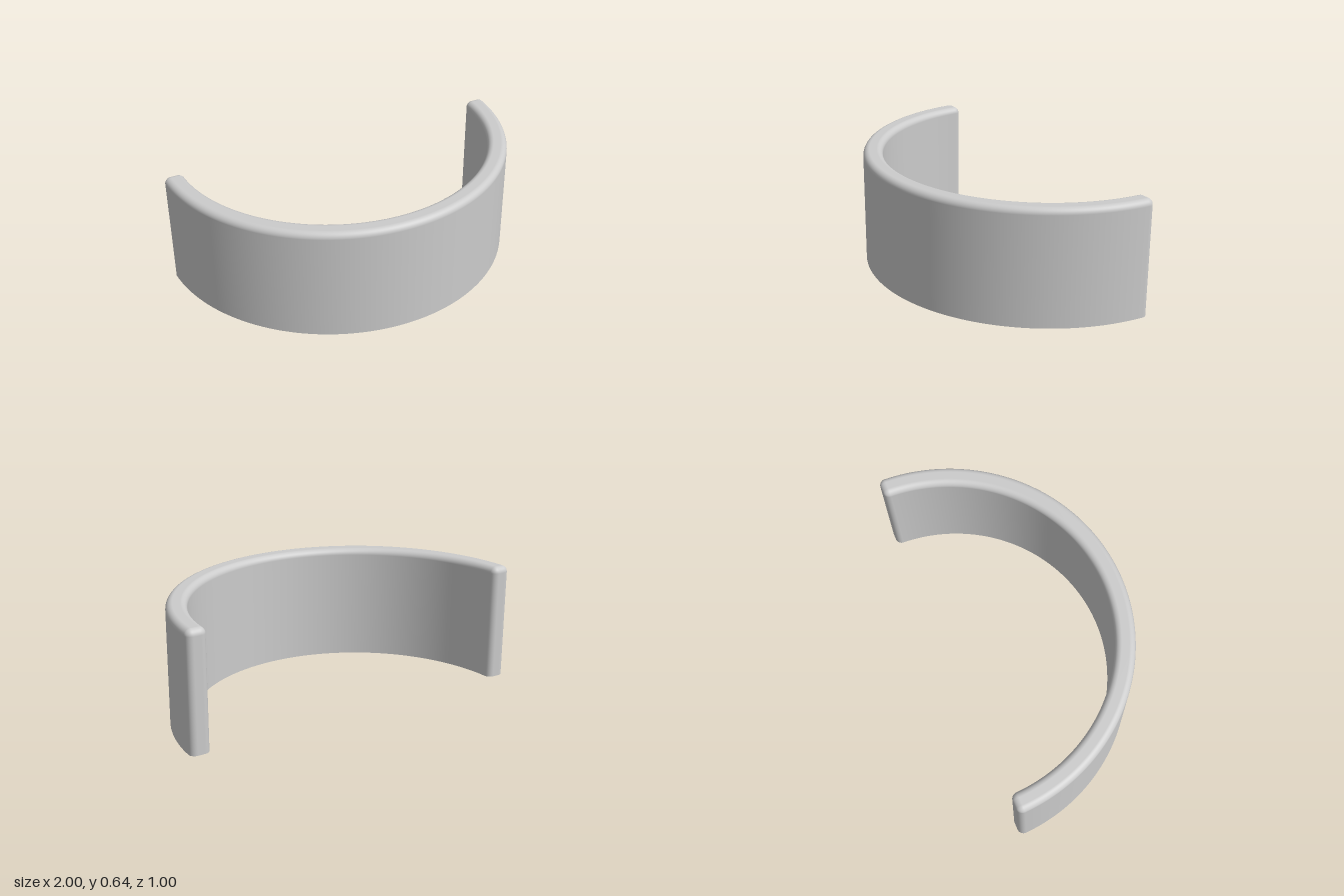
import * as THREE from 'three';

const OUTER = 1, INNER = 0.89, HEIGHT = 0.645, R = 0.035, BACK = -0.5;

// Outline of the half ring, as core points with outward normal angles;
// the rounded edges come from pushing the core out by R.
function outline() {
  const ro = OUTER - R, ri = INNER + R;
  const ao = Math.asin(R / ro), ai = Math.asin(R / ri);
  const pts = [];
  const sweep = (radius, from, to, nFrom, nTo, steps) => {
    for (let i = 0; i <= steps; i++) {
      const a = THREE.MathUtils.lerp(from, to, i / steps);
      const n = THREE.MathUtils.lerp(nFrom, nTo, i / steps);
      pts.push({
        x: radius * Math.cos(a), z: BACK + radius * Math.sin(a),
        nx: Math.cos(n), nz: Math.sin(n),
      });
    }
  };
  const P = Math.PI, down = 1.5 * P;
  sweep(ro, ao, P - ao, ao, P - ao, 96);               // outer wall
  sweep(ro, P - ao, P - ao, P - ao, down, 8);          // right end, outer edge
  sweep(ri, P - ai, P - ai, down, 2 * P - ai, 8);      // right end, inner edge
  sweep(ri, P - ai, ai, 2 * P - ai, P + ai, 96);       // inner wall
  sweep(ri, ai, ai, P + ai, down, 8);                  // left end, inner edge
  sweep(ro, ao, ao, down, 2 * P + ao, 8);              // left end, outer edge
  return pts;
}

// Upright walls and the rounded top edge, lofted with smooth normals
function wallGeometry(pts) {
  const rows = [{ y: 0, t: 0 }];
  for (let i = 0; i <= 8; i++) {
    const t = (i / 8) * Math.PI / 2;
    rows.push({ y: HEIGHT - R + R * Math.sin(t), t });
  }
  const position = [], normal = [], index = [], n = pts.length;
  rows.forEach(({ y, t }, j) => {
    const c = Math.cos(t), s = Math.sin(t);
    pts.forEach((p, i) => {
      position.push(p.x + p.nx * R * c, y, p.z + p.nz * R * c);
      normal.push(p.nx * c, s, p.nz * c);
      if (j === 0) return;
      const k = (i + 1) % n, lo = (j - 1) * n, hi = j * n;
      index.push(lo + i, hi + i, lo + k, lo + k, hi + i, hi + k);
    });
  });
  const geo = new THREE.BufferGeometry();
  geo.setAttribute('position', new THREE.Float32BufferAttribute(position, 3));
  geo.setAttribute('normal', new THREE.Float32BufferAttribute(normal, 3));
  geo.setIndex(index);
  return geo;
}

// Flat cap; side is 1 facing up, -1 facing down
function capGeometry(pts, offset, y, side) {
  const ring = pts.map(p => new THREE.Vector2(p.x + p.nx * offset, -side * (p.z + p.nz * offset)))
    .filter((p, i, all) => i === 0 || p.distanceTo(all[i - 1]) > 1e-6);
  if (ring[0].distanceTo(ring[ring.length - 1]) < 1e-6) ring.pop();
  return new THREE.ShapeGeometry(new THREE.Shape(ring))
    .rotateX(-side * Math.PI / 2).translate(0, y, 0);
}

export function createModel() {
  const group = new THREE.Group();
  group.name = 'halfRing';
  const material = new THREE.MeshStandardMaterial({ color: 0xcccccc });
  const add = (name, geo) => {
    const mesh = new THREE.Mesh(geo, material);
    mesh.name = name;
    group.add(mesh);
  };
  const pts = outline();
  add('curvedWall', wallGeometry(pts));
  add('topFace', capGeometry(pts, 0, HEIGHT, 1));
  add('bottomFace', capGeometry(pts, R, 0, -1));
  return group;
}
